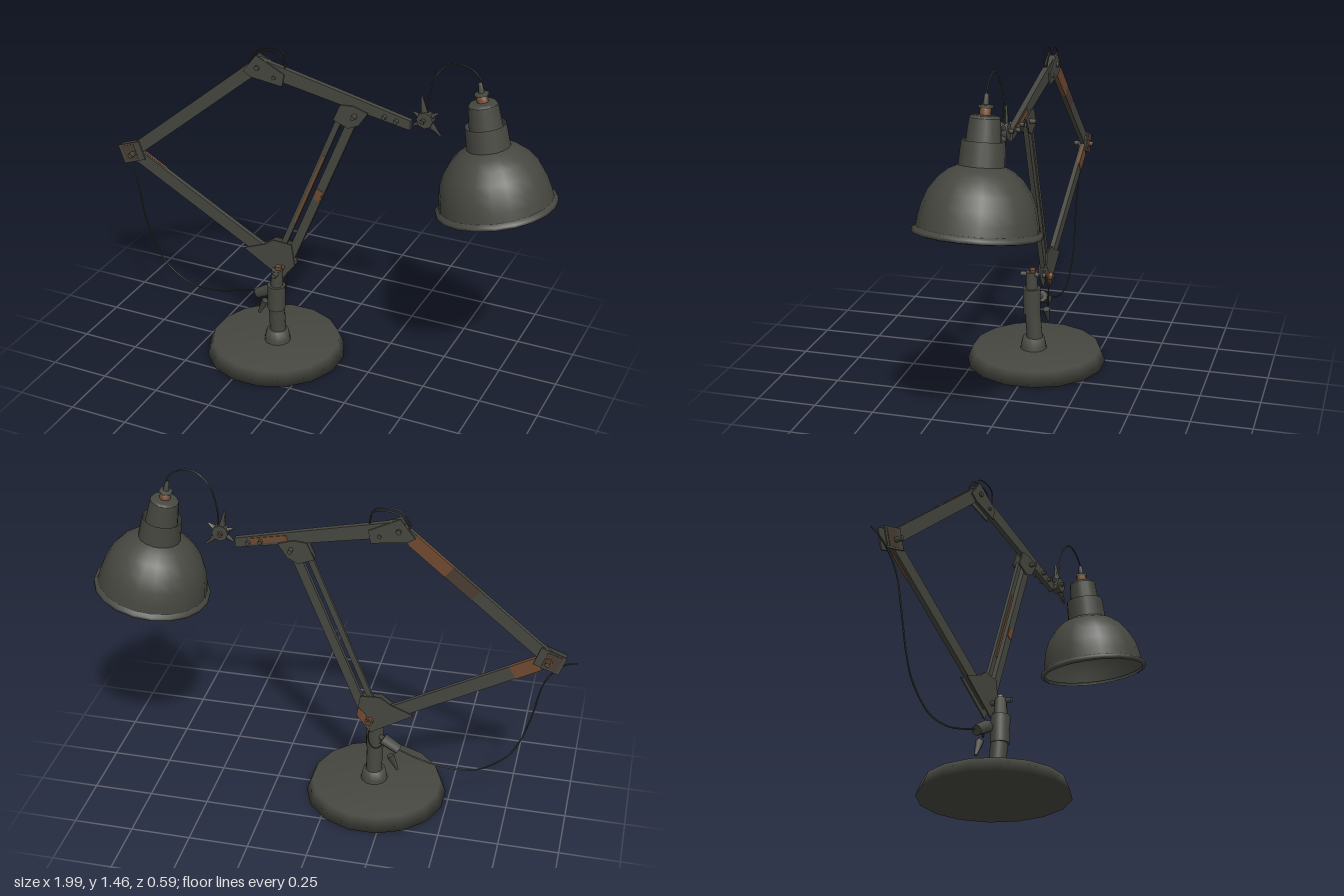
import * as THREE from 'three';

const V = (x, y, z) => new THREE.Vector3(x, y, z);
const ARM_Z = -0.047;

function paint(name, color) {
  const m = new THREE.MeshStandardMaterial({ color, side: THREE.DoubleSide });
  m.name = name;
  return m;
}

export function createModel() {
  const model = new THREE.Group();
  model.name = 'deskLamp';
  const metal = paint('darkOliveMetal', 0x464740);
  const rust = paint('rust', 0x704a30);
  const stain = paint('stainedMetal', 0x4a3d33);
  const black = paint('darkCable', 0x393a33);

  function add(name, geometry, material = metal, parent = model) {
    const mesh = new THREE.Mesh(geometry, material);
    mesh.name = name;
    parent.add(mesh);
    return mesh;
  }

  // Surface of revolution; profile runs upward as [radius, height]
  function turned(name, profile, sides, material, parent) {
    const pts = profile.map(([r, y]) => new THREE.Vector2(r, y));
    return add(name, new THREE.LatheGeometry(pts, sides), material, parent);
  }

  // Flat bar between two points in the arm plane
  function bar(name, [ax, ay], [bx, by], width, depth = 0.02, z = ARM_Z, material = metal) {
    const mesh = add(name, new THREE.BoxGeometry(Math.hypot(bx - ax, by - ay), width, depth), material);
    mesh.position.set((ax + bx) / 2, (ay + by) / 2, z);
    mesh.rotation.z = Math.atan2(by - ay, bx - ax);
  }

  // Rust on a stretch of a bar
  function patch(name, a, b, from, to, width, z, depth = 0.003, material = rust) {
    const at = t => [a[0] + (b[0] - a[0]) * t, a[1] + (b[1] - a[1]) * t];
    bar(name, at(from), at(to), width, depth, z, material);
  }

  // Cylinder between two points
  function rod(name, a, b, ra, rb, sides = 10, material = metal) {
    const mesh = add(name, new THREE.CylinderGeometry(rb, ra, a.distanceTo(b), sides), material);
    mesh.position.copy(a).add(b).multiplyScalar(0.5);
    mesh.quaternion.setFromUnitVectors(V(0, 1, 0), b.clone().sub(a).normalize());
  }

  const pin = (name, x, y, z0, z1, r, material) => rod(name, V(x, y, z0), V(x, y, z1), r, r, 8, material);

  // Cut plate in the arm plane
  function plate(name, pts, z, depth, material) {
    const shape = new THREE.Shape(pts.map(([x, y]) => new THREE.Vector2(x, y)));
    const g = new THREE.ExtrudeGeometry(shape, { depth, bevelEnabled: false });
    add(name, g.translate(0, 0, z - depth / 2), material);
  }

  function cable(name, pts, r = 0.0035) {
    const curve = new THREE.CatmullRomCurve3(pts.map(p => V(...p)));
    add(name, new THREE.TubeGeometry(curve, pts.length * 6, r, 5), black);
  }

  // Weighted base, softly shaded over its edges
  const base = new THREE.Group();
  base.name = 'base';
  base.position.set(-0.187, 0, -0.002);
  base.rotation.y = Math.PI / 16;
  model.add(base);
  turned('baseBody', [[0, 0], [0.3, 0], [0.276, 0.06], [0, 0.06]], 16, metal, base);

  // Stem, leaning slightly forward
  const foot = turned('stemFoot', [[0.058, 0.055], [0.055, 0.075], [0.047, 0.11], [0, 0.112]], 14);
  foot.position.set(-0.175, 0, 0.008);
  rod('stem', V(-0.175, 0.1, 0.002), V(-0.175, 0.25, 0.014), 0.035, 0.034, 12);
  rod('stemCollar', V(-0.175, 0.22, 0.015), V(-0.173, 0.335, 0.016), 0.038, 0.039, 12);
  rod('stemNeck', V(-0.172, 0.33, 0.016), V(-0.17, 0.41, 0.016), 0.027, 0.024, 10);
  rod('stemBolt', V(-0.172, 0.37, 0.014), V(-0.165, 0.425, 0.01), 0.014, 0.014, 6, rust);

  // Arms
  const foldLow = [-0.17, 0.4], foldLeft = [-0.885, 0.795], foldTop = [-0.275, 1.3], tip = [0.39, 1.167];
  const thinLow = [-0.168, 0.5], thinTop = [0.09, 1.14], wideLow = [-0.13, 0.46], wideTop = [0.15, 1.15];
  bar('lowerArm', foldLow, foldLeft, 0.058);
  bar('rearArm', foldLeft, foldTop, 0.054);
  plate('upperArm', [[-0.28, 1.27], [0.1, 1.198], [0.39, 1.145], [0.392, 1.185], [0.1, 1.252], [-0.27, 1.335]], ARM_Z, 0.022);
  bar('thinStrut', thinLow, thinTop, 0.024, 0.014);
  bar('wideStrut', wideLow, wideTop, 0.038, 0.02);

  // Rust wrapping the back of the arms, and streaks on the struts
  const back = ARM_Z - 0.006, front = ARM_Z + 0.0105;
  patch('rearArmRust', foldLeft, foldTop, 0.68, 0.92, 0.0565, back, 0.012);
  patch('rearArmStain', foldLeft, foldTop, 0.5, 0.68, 0.0555, back, 0.011, stain);
  patch('lowerArmRust', foldLow, foldLeft, 0.8, 0.94, 0.0605, back, 0.012);
  patch('upperArmRust', [-0.275, 1.303], tip, 0.68, 0.92, 0.024, ARM_Z - 0.012);
  patch('thinStrutRust', [-0.162, 0.497], [0.096, 1.137], 0.2, 0.72, 0.011, ARM_Z + 0.008);
  patch('wideStrutRust', wideLow, wideTop, 0.42, 0.49, 0.028, front);

  // Lower bracket: a cheek on each side of the arms
  const cheek = [[-0.35, 0.45], [-0.2, 0.36], [-0.17, 0.34], [-0.11, 0.42], [-0.125, 0.515], [-0.21, 0.52], [-0.25, 0.49]];
  for (const s of [-1, 1]) plate('lowerBracket', cheek, ARM_Z + s * 0.014, 0.006);
  plate('bracketRust', [[-0.17, 0.342], [-0.113, 0.42], [-0.117, 0.46], [-0.15, 0.43]], ARM_Z - 0.018, 0.003, rust);
  pin('lowerPivot', -0.165, 0.4, 0.062, -0.085, 0.011);
  pin('lowerPivotNut', -0.165, 0.4, -0.066, -0.08, 0.018, rust);

  // Left joint
  for (const s of [-1, 1]) {
    bar('leftJointCheek', [-0.938, 0.775], [-0.835, 0.812], 0.085, 0.006, ARM_Z + s * 0.014);
    bar('leftJointStain', [-0.925, 0.78], [-0.865, 0.801], 0.07, 0.003, ARM_Z + s * 0.017, stain);
  }
  pin('leftPivot', -0.878, 0.79, 0.0, -0.088, 0.011);
  pin('leftPivotNut', -0.878, 0.79, -0.062, -0.07, 0.018, rust);

  // Top joint
  const topCheek = [[-0.335, 1.27], [-0.3, 1.25], [-0.16, 1.232], [-0.15, 1.285], [-0.275, 1.348]];
  for (const s of [-1, 1]) plate('topJointCheek', topCheek, ARM_Z + s * 0.015, 0.006);
  pin('topPivot', -0.27, 1.295, -0.02, -0.074, 0.011);
  pin('topCheekBolt', -0.195, 1.265, -0.022, -0.072, 0.008);

  // Hub joining struts to the upper arm
  const hub = [[0.065, 1.13], [0.13, 1.105], [0.175, 1.125], [0.215, 1.185], [0.15, 1.205], [0.095, 1.2]];
  for (const s of [-1, 1]) plate('strutHub', hub, ARM_Z + s * 0.015, 0.006);
  pin('strutPivot', 0.16, 1.165, -0.002, -0.09, 0.01);
  for (const [x, y] of [[0.285, 1.184], [0.335, 1.175]]) pin('tipBolt', x, y, -0.018, -0.076, 0.009);

  // Wing nut beyond the arm tip
  pin('wingNutHub', 0.452, 1.2, -0.03, -0.062, 0.034);
  const spikes = [[0.432, 1.295], [0.515, 1.14], [0.4, 1.165], [0.4, 1.222], [0.502, 1.235]];
  for (const [x, y] of spikes) rod('wingNutWing', V(0.452, 1.2, ARM_Z), V(x, y, ARM_Z), 0.019, 0.004, 5);
  pin('wingNutPin', 0.448, 1.2, -0.012, -0.08, 0.009, stain);

  // Cable clamp and lever by the stem
  rod('cableClamp', V(-0.285, 0.245, -0.025), V(-0.215, 0.285, -0.018), 0.022, 0.026, 7);
  rod('clampArm', V(-0.22, 0.28, -0.015), V(-0.175, 0.29, 0.01), 0.012, 0.012, 6);
  rod('clampLever', V(-0.282, 0.145, -0.03), V(-0.25, 0.212, -0.03), 0.006, 0.018, 5);

  // Cables
  cable('lowerCable', [[-0.995, 0.797, -0.06], [-0.955, 0.785, -0.055], [-0.91, 0.745, -0.045], [-0.865, 0.66, -0.03], [-0.83, 0.5, -0.022],
    [-0.79, 0.37, -0.025], [-0.74, 0.285, -0.03], [-0.62, 0.203, -0.035], [-0.49, 0.197, -0.04], [-0.37, 0.226, -0.045], [-0.26, 0.26, -0.03]]);
  cable('bracketCable', [[-0.23, 0.275, -0.03], [-0.19, 0.255, -0.052], [-0.165, 0.285, -0.06], [-0.165, 0.4, -0.06]], 0.003);
  for (const s of [-1, 1]) cable('topCable', [[-0.315, 1.31, ARM_Z + s * 0.012], [-0.275, 1.362, ARM_Z + s * 0.014],
    [-0.215, 1.376, ARM_Z + s * 0.014], [-0.165, 1.362, ARM_Z + s * 0.012], [-0.15, 1.29, ARM_Z]], 0.003);
  cable('shadeCable', [[0.46, 1.21, ARM_Z], [0.463, 1.3, ARM_Z], [0.495, 1.4, -0.042], [0.56, 1.452, -0.04],
    [0.625, 1.445, -0.042], [0.665, 1.41, -0.042], [0.675, 1.37, -0.04]]);

  // Tilted shade, built upward from the rim centre
  const shade = new THREE.Group();
  shade.name = 'shade';
  shade.position.set(0.763, 0.895, -0.03);
  shade.rotation.set(-0.02, 0, 0.192);
  model.add(shade);
  turned('shadeRim', [[0.226, -0.002], [0.24, 0.002], [0.24, 0.014], [0.226, 0.024]], 20, metal, shade);
  turned('shadeDome', [[0.226, 0.01], [0.22, 0.06], [0.209, 0.11], [0.188, 0.16], [0.155, 0.205], [0.12, 0.235], [0.084, 0.252]], 20, metal, shade);
  // The neck is open at the top, with the narrower housing rising out of it
  turned('shadeNeck', [[0.086, 0.25], [0.081, 0.342]], 18, metal, shade);
  turned('socketHousing', [[0.066, 0.325], [0.058, 0.422]], 16, metal, shade);
  turned('housingTop', [[0.058, 0.422], [0.05, 0.432], [0, 0.434]], 16, metal, shade);
  turned('cableGland', [[0.022, 0.432], [0.021, 0.462], [0, 0.464]], 10, rust, shade);
  turned('glandNut', [[0.028, 0.458], [0.028, 0.47], [0, 0.471]], 6, metal, shade);
  turned('glandTip', [[0.012, 0.47], [0.008, 0.51], [0, 0.511]], 8, metal, shade);
  turned('bulbSocket', [[0, 0.23], [0.032, 0.23], [0.032, 0.43]], 10, rust, shade);

  return model;
}
